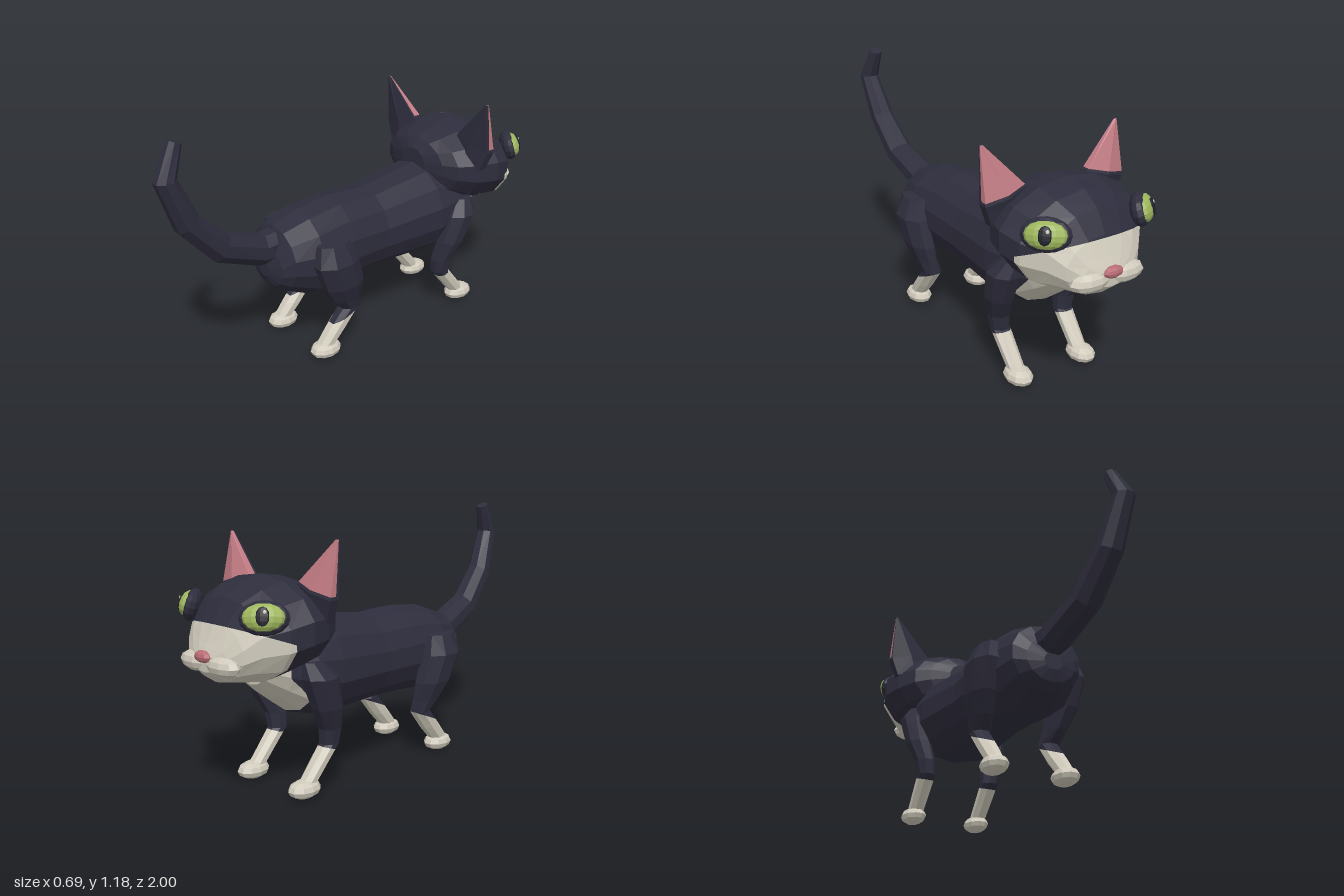
import * as THREE from 'three';

const V = (x, y, z) => new THREE.Vector3(x, y, z);
const paint = (name, color) => {
  const m = new THREE.MeshStandardMaterial({ color });
  m.name = name;
  return m;
};

// Closed elliptical section around c, spanned by the half axes u and v
function ring(c, u, v, n) {
  return Array.from({ length: n }, (_, i) => {
    const a = ((i + 0.5) / n) * Math.PI * 2;
    return c.clone().addScaledVector(u, Math.cos(a)).addScaledVector(v, Math.sin(a));
  });
}

// Skins the sections with outward-facing triangles and closes both ends
function loft(rings) {
  const tris = [], n = rings[0].length;
  for (let k = 0; k < rings.length - 1; k++) {
    for (let i = 0; i < n; i++) {
      const j = (i + 1) % n, a = rings[k], b = rings[k + 1];
      tris.push([a[i], a[j], b[j]], [a[i], b[j], b[i]]);
    }
  }
  const first = rings[0], last = rings[rings.length - 1];
  for (let i = 1; i < n - 1; i++) {
    tris.push([first[0], first[i + 1], first[i]], [last[0], last[i], last[i + 1]]);
  }
  const mid = first[0];
  let volume = 0;
  for (const [a, b, c] of tris) {
    volume += a.clone().sub(mid).dot(b.clone().sub(mid).cross(c.clone().sub(mid)));
  }
  return volume < 0 ? tris.map(([a, b, c]) => [a, c, b]) : tris;
}

// Cuts triangles where f = 0; returns those with f < 0 and the rest
function cut(tris, f) {
  const sides = [[], []];
  for (const t of tris) {
    const polys = [[], []];
    t.forEach((p, i) => {
      const q = t[(i + 1) % 3], fp = f(p), fq = f(q);
      polys[fp < 0 ? 0 : 1].push(p);
      if (fp < 0 !== fq < 0) {
        const m = p.clone().lerp(q, fp / (fp - fq));
        polys[0].push(m);
        polys[1].push(m);
      }
    });
    polys.forEach((p, s) => {
      for (let i = 1; i < p.length - 1; i++) sides[s].push([p[0], p[i], p[i + 1]]);
    });
  }
  return sides;
}

// Two-colour part: the marked colour fills the area where every rule is < 0
function patched(name, tris, base, mark, rules) {
  let marked = tris, rest = [];
  for (const f of rules) {
    const [inside, outside] = cut(marked, f);
    marked = inside;
    rest = rest.concat(outside);
  }
  const geo = new THREE.BufferGeometry().setFromPoints([...rest, ...marked].flat());
  geo.computeVertexNormals();
  geo.addGroup(0, rest.length * 3, 0);
  geo.addGroup(rest.length * 3, marked.length * 3, 1);
  const mesh = new THREE.Mesh(geo, [base, mark]);
  mesh.name = name;
  return mesh;
}

// Faceted ellipsoid
function blob(name, mat, pos, r, w = 10, h = 6) {
  const geo = new THREE.SphereGeometry(1, w, h).scale(...r).toNonIndexed();
  geo.computeVertexNormals();
  const mesh = new THREE.Mesh(geo, mat);
  mesh.position.set(...pos);
  mesh.name = name;
  return mesh;
}

export function createModel() {
  const cat = new THREE.Group();
  cat.name = 'cat';
  const fur = paint('dark fur', 0x2e2d3d);
  const white = paint('cream fur', 0xcfcabb);
  const pink = paint('ear pink', 0xc07a82);
  const noseMat = paint('nose pink', 0xb86c74);
  const green = paint('eye green', 0x9db55c);
  const black = paint('pupil', 0x1f1f2a);

  // Sections along z: z, centre y, half width, half height
  const alongZ = (rows, n) =>
    loft(rows.map(([z, y, rx, ry]) => ring(V(0, y, z), V(rx, 0, 0), V(0, ry, 0), n)));

  // Body with bib
  const body = alongZ([
    [0.48, 0.465, 0.045, 0.04], [0.46, 0.475, 0.12, 0.1], [0.42, 0.5, 0.17, 0.157],
    [0.29, 0.492, 0.21, 0.21], [0.11, 0.51, 0.2, 0.21], [-0.1, 0.508, 0.197, 0.202],
    [-0.42, 0.525, 0.23, 0.23], [-0.55, 0.54, 0.22, 0.21], [-0.66, 0.56, 0.18, 0.145],
    [-0.75, 0.58, 0.12, 0.09]], 14);
  cat.add(patched('body', body, fur, white,
    [p => p.z + 0.56, p => p.x - 0.17, p => -p.x - 0.17]));

  // Head with pale lower face
  const head = alongZ([
    [-0.42, 0.755, 0.08, 0.075], [-0.45, 0.75, 0.18, 0.125], [-0.49, 0.745, 0.25, 0.155],
    [-0.58, 0.74, 0.31, 0.19], [-0.68, 0.737, 0.337, 0.208], [-0.78, 0.715, 0.31, 0.205],
    [-0.86, 0.695, 0.24, 0.175], [-0.915, 0.655, 0.185, 0.125], [-0.95, 0.63, 0.13, 0.07],
    [-0.97, 0.62, 0.07, 0.04]], 14);
  cat.add(patched('head', head, fur, white,
    [p => p.z + 0.755, p => p.y - 0.7 + 0.4 * (p.z + 0.755)]));
  cat.add(blob('nose', noseMat, [0, 0.645, -0.975], [0.048, 0.025, 0.024], 8, 6));

  // Tail: x, y, z, radius
  const tail = [
    [0, 0.57, 0.4, 0.075], [0, 0.565, 0.5, 0.075], [0.025, 0.65, 0.71, 0.068],
    [0.045, 0.815, 0.865, 0.06], [0.068, 1.025, 0.955, 0.048], [0.052, 1.167, 0.893, 0.031]];
  const tailRings = tail.map(([x, y, z, r], i) => {
    const a = tail[Math.max(i - 1, 0)], b = tail[Math.min(i + 1, tail.length - 1)];
    const dir = V(0, b[1] - a[1], b[2] - a[2]).normalize();
    return ring(V(x, y, z), V(r, 0, 0), V(0, dir.z, -dir.y).multiplyScalar(r), 8);
  });
  cat.add(patched('tail', loft(tailRings), fur, fur, []));

  // Leg sections: x, y, z, half width, half depth
  const legs = {
    hind: {
      rows: [[0.2, 0.59, 0.24, 0.045, 0.085], [0.213, 0.5, 0.235, 0.073, 0.118],
        [0.205, 0.37, 0.19, 0.064, 0.11], [0.185, 0.28, 0.16, 0.05, 0.08],
        [0.172, 0.225, 0.13, 0.046, 0.052], [0.17, 0.13, 0.21, 0.043, 0.056],
        [0.17, 0.05, 0.28, 0.038, 0.05]],
      sock: p => p.y - 0.26 + 0.42 * p.z, paw: 0.268 },
    front: {
      rows: [[0.19, 0.59, -0.58, 0.045, 0.05], [0.21, 0.52, -0.548, 0.075, 0.085],
        [0.203, 0.38, -0.5, 0.062, 0.074], [0.18, 0.28, -0.465, 0.05, 0.055],
        [0.172, 0.21, -0.465, 0.044, 0.046], [0.17, 0.05, -0.6, 0.037, 0.045]],
      sock: p => p.y - 0.19 + 0.3 * (p.z + 0.47), paw: -0.61 },
  };

  for (const s of [1, -1]) {
    const side = s > 0 ? 'Left' : 'Right';

    for (const [kind, { rows, sock, paw }] of Object.entries(legs)) {
      const rings = rows.map(([x, y, z, rx, rz]) =>
        ring(V(s * x, y, z), V(s * rx, 0, 0), V(0, 0, rz), 8));
      cat.add(patched(`${kind}Leg${side}`, loft(rings), fur, white, [sock]));
      cat.add(blob(`${kind}Paw${side}`, white, [s * 0.172, 0.04, paw], [0.059, 0.04, 0.079]));
    }

    // Ear: flattened spike on a slanted base, pink on the face side
    const ear = [
      [0.225, 0.8, -0.582, 0.1, -0.04, 0.04], [0.25, 0.885, -0.592, 0.112, -0.03, 0.047],
      [0.335, 1.095, -0.56, 0.008, 0, 0.008]].map(([x, y, z, ux, uy, d]) =>
      ring(V(s * x, y, z), V(s * ux, uy, 0), V(0, 0, d), 6));
    cat.add(patched(`ear${side}`, loft(ear), fur, pink, [
      p => p.z + 0.56 + 0.1 * (1.1 - p.y),
      p => 0.875 + 0.25 * (0.34 - s * p.x) - p.y]));

    // Eye: lid, iris, pupil and glint facing outward and up
    const eye = new THREE.Group();
    eye.name = `eye${side}`;
    eye.add(
      blob('eyelid', fur, [0, 0, 0], [0.1, 0.069, 0.042], 12, 8),
      blob('iris', green, [0, 0, 0.017], [0.086, 0.056, 0.038], 12, 8),
      blob('pupil', black, [0, 0, 0.05], [0.027, 0.038, 0.009], 10, 6),
      blob('glint', white, [0.009, 0.016, 0.057], [0.008, 0.008, 0.004], 6, 4));
    eye.position.set(s * 0.235, 0.81, -0.852);
    eye.lookAt(eye.position.clone().add(V(s * 0.65, 0.3, -0.7)));
    cat.add(eye);

    cat.add(blob(`muzzlePad${side}`, white, [s * 0.086, 0.613, -0.94], [0.095, 0.044, 0.05]));
  }
  return cat;
}
